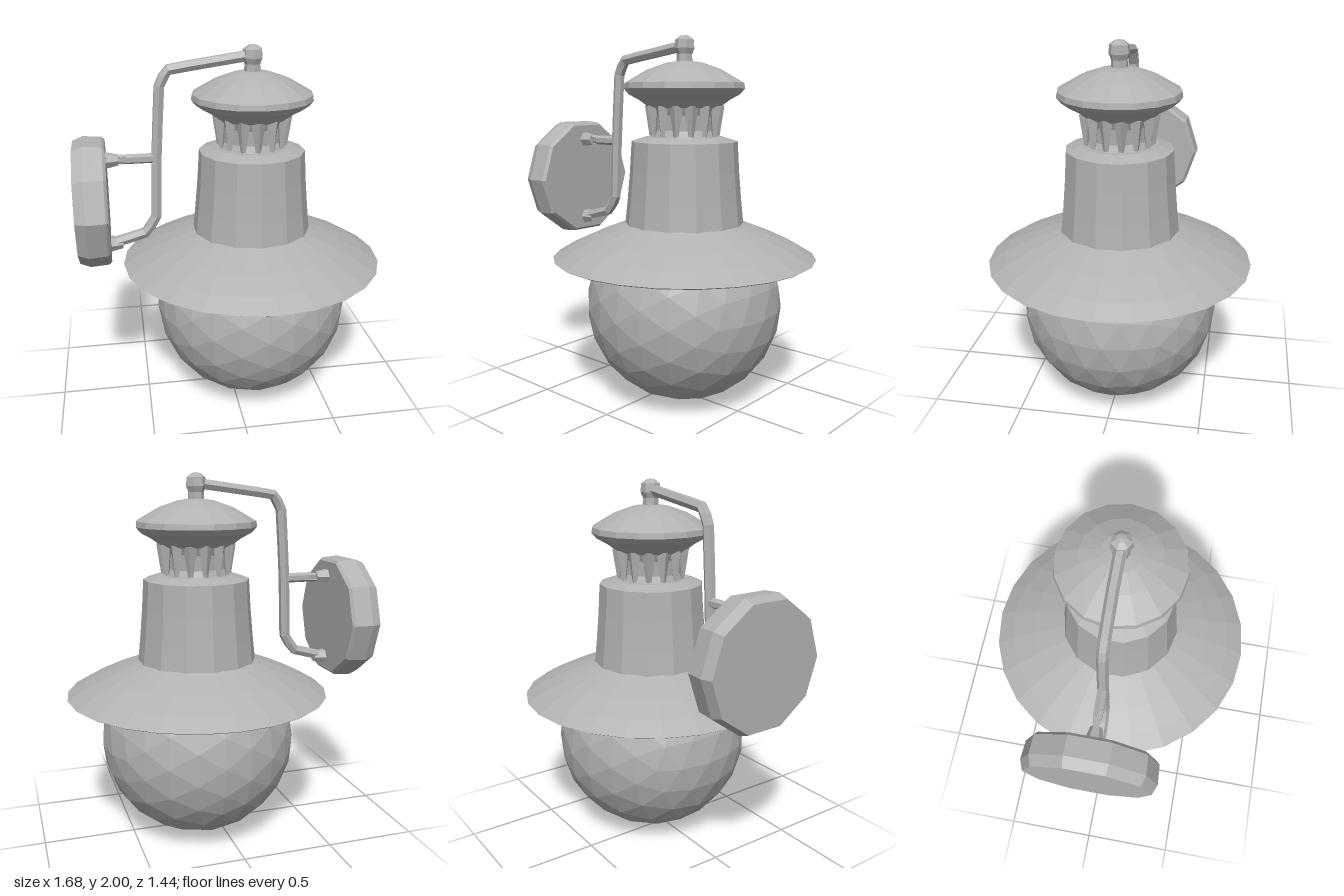
import * as THREE from 'three';

export function createModel() {
  const model = new THREE.Group();
  model.name = 'wallLantern';
  const grey = new THREE.MeshStandardMaterial({ color: 0xb2b2b2, flatShading: true });
  grey.name = 'plain grey';
  const axisX = 0.115;

  const add = (name, geometry, parent = model) => {
    const mesh = new THREE.Mesh(geometry, grey);
    mesh.name = name;
    parent.add(mesh);
    return mesh;
  };
  const turned = (profile, sides) =>
    new THREE.LatheGeometry(profile.map(([r, y]) => new THREE.Vector2(r, y)), sides);
  const bar = (points, radius) => {
    const path = new THREE.CurvePath();
    const v = points.map((p) => new THREE.Vector3(...p));
    const curve = new THREE.CatmullRomCurve3(v, false, 'catmullrom', 0.1);
    // Sample exactly at the control points so bends stay crisp
    curve.getPointAt = (t, target) => curve.getPoint(t, target);
    curve.getTangentAt = (t, target) => curve.getTangent(t, target);
    return new THREE.TubeGeometry(curve, points.length * 2 - 2, radius, 6);
  };

  // Lamp: everything turned around the vertical axis
  const lamp = new THREE.Group();
  lamp.name = 'lamp';
  lamp.position.x = axisX;
  model.add(lamp);

  add('globe', new THREE.IcosahedronGeometry(0.54, 3), lamp).position.y = 0.54;

  // Thin open brim: underside first, then round the rim and up the outside
  add('brim', turned([
    [0.3, 0.965], [0.5, 0.88], [0.62, 0.835], [0.71, 0.803],
    [0.722, 0.81], [0.63, 0.865], [0.5, 0.925], [0.32, 0.995],
  ], 24), lamp);

  add('body', turned([
    [0.327, 0.98], [0.312, 1.12], [0.298, 1.28], [0.288, 1.44], [0.21, 1.465], [0, 1.465],
  ], 14), lamp);

  // Vented neck with tapering ribs
  add('neckCore', turned([[0.185, 1.45], [0.165, 1.5], [0.17, 1.58], [0.2, 1.64]], 14), lamp);
  const ribs = new THREE.Group();
  ribs.name = 'neckRibs';
  lamp.add(ribs);
  const ribCount = 14;
  for (let i = 0; i < ribCount; i++) {
    const a = (i / ribCount) * Math.PI * 2;
    const rib = add('neckRib', new THREE.CylinderGeometry(0.038, 0.014, 0.16, 4), ribs);
    rib.position.set(Math.sin(a) * 0.176, 1.55, Math.cos(a) * 0.176);
    rib.rotation.y = a;
  }

  add('cap', turned([
    [0, 1.615], [0.19, 1.62], [0.245, 1.66], [0.3, 1.69], [0.326, 1.72],
    [0.322, 1.75], [0.2, 1.82], [0.1, 1.855], [0, 1.87],
  ], 16), lamp);

  add('finial', turned([
    [0.045, 1.84], [0.043, 1.9], [0.056, 1.93], [0.052, 1.975], [0.025, 1.995], [0, 2],
  ], 7), lamp);

  // Bent arm from the plate up and over to the finial
  add('arm', bar([
    [-0.68, 0.945, 0.015], [-0.48, 0.997, 0.01], [-0.415, 1.09, 0.008], [-0.402, 1.42, 0.005],
    [-0.375, 1.8, 0.005], [-0.325, 1.882, 0.005], [-0.1, 1.915, 0], [axisX, 1.945, 0],
  ], 0.03));
  add('bracket', bar([[-0.69, 1.42, 0.01], [-0.4, 1.42, 0.005]], 0.027));

  // Flared feet where the bars meet the plate
  for (const y of [0.945, 1.42]) {
    const foot = add('barFoot', new THREE.CylinderGeometry(0.03, 0.046, 0.07, 6));
    foot.rotation.z = -Math.PI / 2;
    foot.position.set(-0.638, y, 0.012);
  }

  // Faceted round wall plate, turned about the x axis
  const plate = add('wallPlate', turned([
    [0, -0.085], [0.33, -0.085], [0.352, -0.03], [0.345, 0.07], [0.33, 0.085], [0, 0.085],
  ], 10));
  plate.rotation.z = -Math.PI / 2;
  plate.position.set(-0.754, 1.19, 0);

  return model;
}
